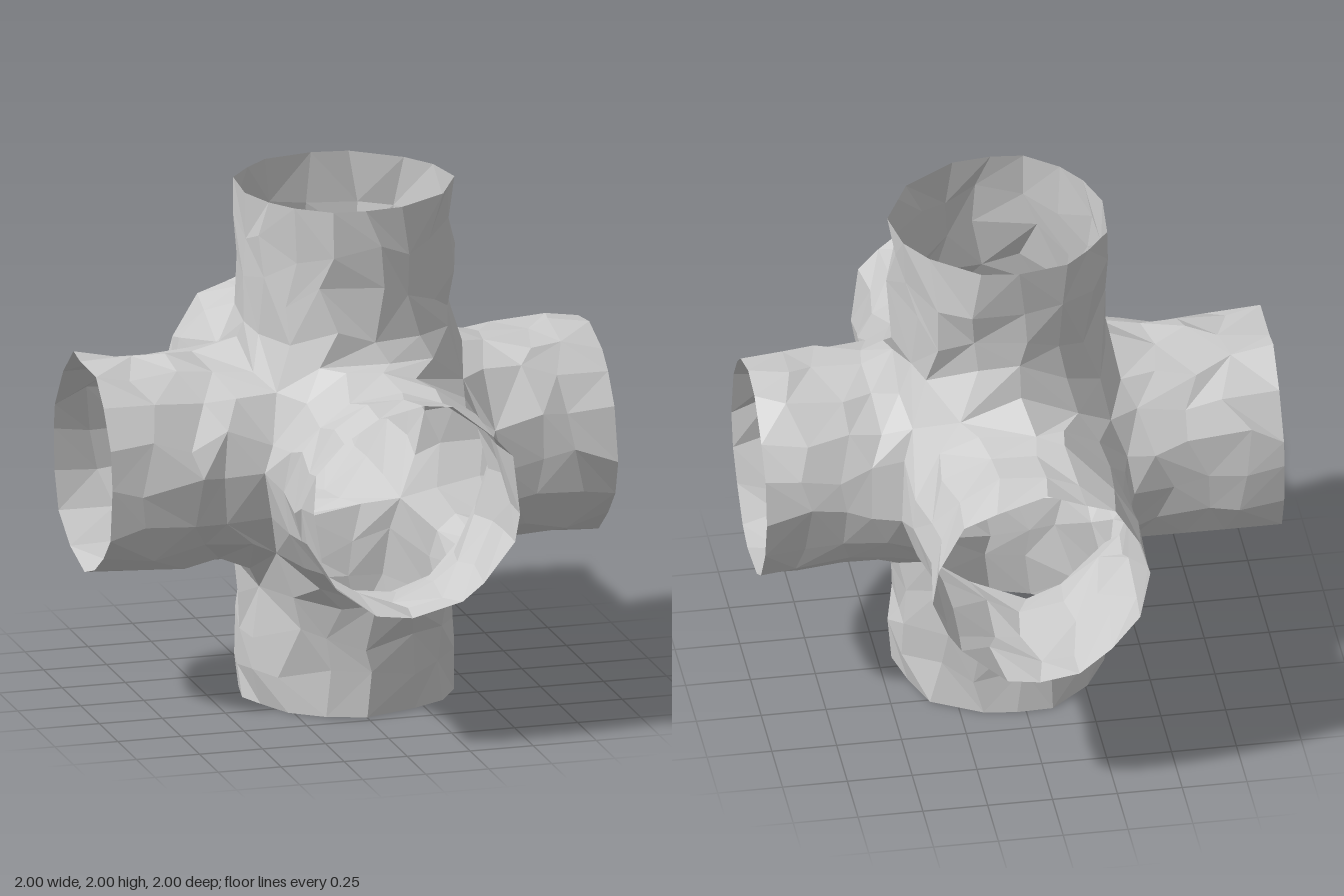
import * as THREE from 'three';

const CENTER = [0.035, 0.965, 0.03]; // where the three tube axes cross
const LOW = [-1, 0, -1], HIGH = [1, 2, 1]; // planes of the open ends
const R = 0.412, SEGMENTS = 16, ROWS = 4;

// Repeatable noise in -1..1 from a position, so that shared points agree
function noise(p, seed) {
  const [a, b, c] = p.map(v => Math.round(v * 1000));
  const s = Math.sin(a * 0.129898 + b * 0.78233 + c * 0.37719 + seed * 4.1414) * 43758.5453;
  return (s - Math.floor(s)) * 2 - 1;
}

function smoothMin(a, b, k) {
  const h = Math.max(k - Math.abs(a - b), 0);
  return Math.min(a, b) - h * h / (4 * k);
}

// Distance to three crossing cylinders; wide fillets between the upright and
// the front and back tubes (except low at the back), tight ones elsewhere
function distance([x, y, z]) {
  const dx = Math.hypot(y, z) - R, dy = Math.hypot(x, z) - R, dz = Math.hypot(x, y) - R;
  const wide = y < 0 && z < 0 ? 0.08 : 0.28;
  return smoothMin(smoothMin(dy, dz, wide), dx, 0.08);
}

// Move a point onto the surface, offset by a small bump
function project(p, bump) {
  const e = 0.001;
  for (let i = 0; i < 5; i++) {
    const d = distance(p) - bump;
    const g = p.map((v, k) => {
      const a = [...p], b = [...p];
      a[k] += e;
      b[k] -= e;
      return (distance(a) - distance(b)) / (2 * e);
    });
    const len2 = Math.max(g[0] ** 2 + g[1] ** 2 + g[2] ** 2, 0.3);
    p = p.map((v, k) => v - d * g[k] / len2);
  }
  return p;
}

// One open arm, from the mitre with its neighbours to its flat-cut end
function armGeometry(axis, sign) {
  const u = (axis + 1) % 3, v = (axis + 2) % 3;
  const end = (sign > 0 ? HIGH : LOW)[axis] - CENTER[axis];
  const point = (row, seg) => {
    const angle = (seg % SEGMENTS) / SEGMENTS * Math.PI * 2;
    const c = Math.cos(angle), s = Math.sin(angle);
    const start = sign * R * Math.max(Math.abs(c), Math.abs(s));
    const base = [0, 0, 0];
    base[axis] = start + (end - start) * row / ROWS;
    base[u] = R * c;
    base[v] = R * s;
    const jittered = base.map((b, k) => b + 0.045 * noise(base, k + 1));
    const p = project(jittered, 0.002 + 0.02 * noise(base, 7));
    if (row === ROWS) p[axis] = end;
    return p.map((b, k) => b + CENTER[k]);
  };
  const positions = [];
  const triangle = (a, b, c) => positions.push(...a, ...(sign > 0 ? [...b, ...c] : [...c, ...b]));
  for (let row = 0; row < ROWS; row++) {
    for (let seg = 0; seg < SEGMENTS; seg++) {
      const a = point(row, seg), b = point(row, seg + 1);
      const c = point(row + 1, seg + 1), d = point(row + 1, seg);
      // irregular choice of diagonal
      if (noise(a, 11) > 0) {
        triangle(a, b, c);
        triangle(a, c, d);
      } else {
        triangle(a, b, d);
        triangle(b, c, d);
      }
    }
  }
  const geometry = new THREE.BufferGeometry();
  geometry.setAttribute('position', new THREE.Float32BufferAttribute(positions, 3));
  geometry.computeVertexNormals();
  return geometry;
}

export function createModel() {
  const group = new THREE.Group();
  group.name = 'sixWayTubeJunction';
  const material = new THREE.MeshStandardMaterial({
    color: 0xcccccc, flatShading: true, side: THREE.DoubleSide,
  });
  const names = [['rightTube', 'leftTube'], ['bottomTube', 'topTube'], ['backTube', 'frontTube']];
  names.forEach((pair, axis) => pair.forEach((name, i) => {
    const mesh = new THREE.Mesh(armGeometry(axis, i ? 1 : -1), material);
    mesh.name = name;
    group.add(mesh);
  }));
  return group;
}
